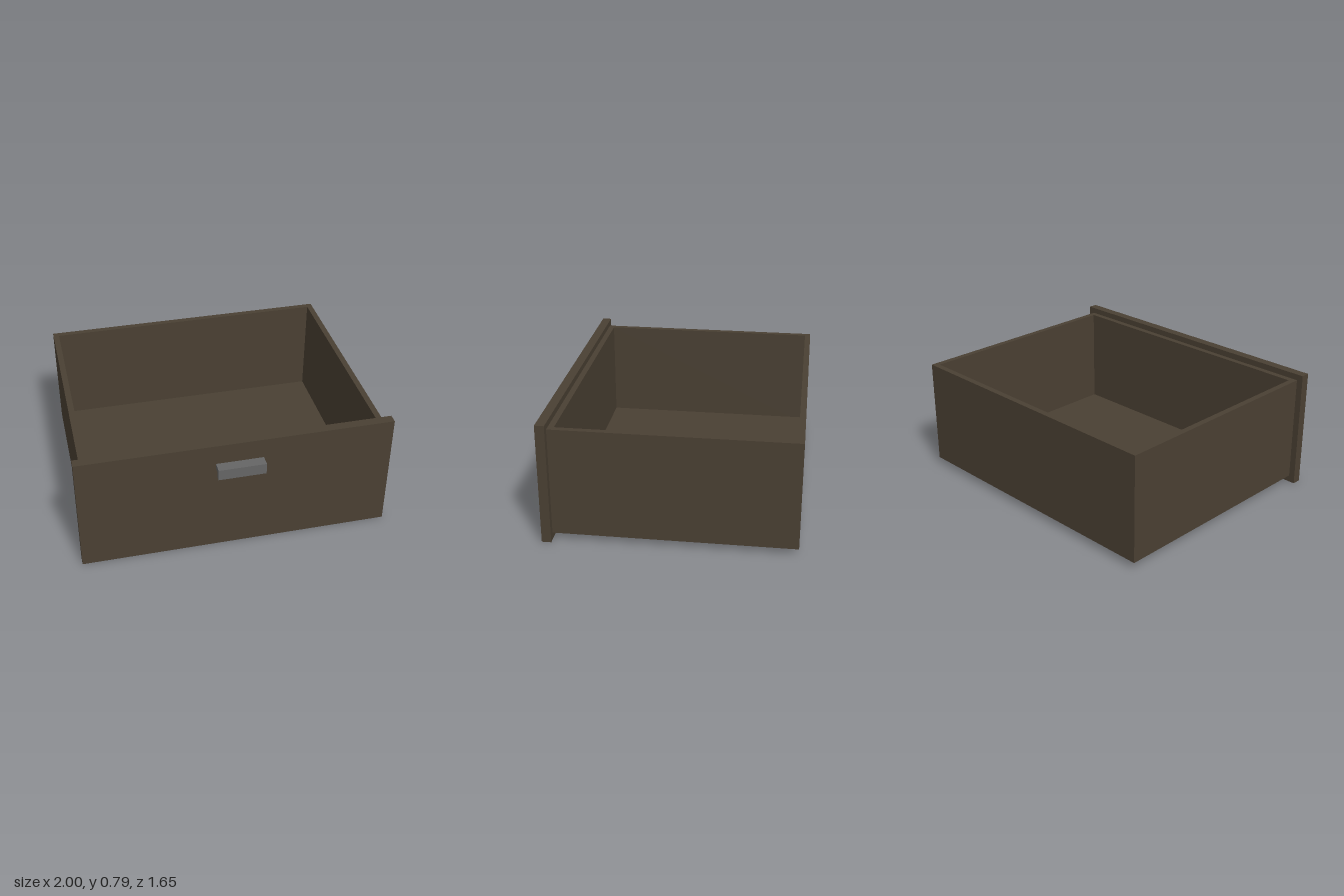
import * as THREE from 'three';

export function createModel() {
  const model = new THREE.Group();
  model.name = 'drawer';

  const wood = new THREE.MeshStandardMaterial({ color: 0x4a4033 });
  wood.name = 'dark wood';
  const metal = new THREE.MeshStandardMaterial({ color: 0x666666 });
  metal.name = 'grey metal';

  const add = (name, geometry, material) => {
    const mesh = new THREE.Mesh(geometry, material);
    mesh.name = name;
    model.add(mesh);
    return mesh;
  };

  const halfWidth = 0.958, back = -0.826, front = 0.697, panelFront = 0.757;
  const bottom = 0.045, top = 0.75, wall = 0.038;

  // Four walls as one extruded frame, looking down the y axis
  const frame = new THREE.Shape([
    new THREE.Vector2(-halfWidth, -front), new THREE.Vector2(halfWidth, -front),
    new THREE.Vector2(halfWidth, -back), new THREE.Vector2(-halfWidth, -back),
  ]);
  const inner = halfWidth - wall;
  frame.holes.push(new THREE.Path([
    new THREE.Vector2(-inner, -front + wall), new THREE.Vector2(-inner, -back - wall),
    new THREE.Vector2(inner, -back - wall), new THREE.Vector2(inner, -front + wall),
  ]));
  const walls = new THREE.ExtrudeGeometry(frame, { depth: top - bottom, bevelEnabled: false });
  walls.rotateX(-Math.PI / 2);
  add('boxWalls', walls, wood).position.y = bottom;

  // Floor, sized to sit inside the walls and flush with their underside
  const floorDepth = front - back - 2 * wall;
  add('boxFloor', new THREE.BoxGeometry(2 * inner, wall, floorDepth), wood)
    .position.set(0, bottom + wall / 2, (front + back) / 2);

  // Overhanging front panel
  add('frontPanel', new THREE.BoxGeometry(2, 0.79, panelFront - front), wood)
    .position.set(0, 0.395, (front + panelFront) / 2);

  // Hooked pull: profile in (-z, y), extruded along x
  const profile = new THREE.Shape([
    [-panelFront, 0.656], [-0.826, 0.656], [-0.826, 0.583],
    [-0.802, 0.583], [-0.79, 0.621], [-panelFront, 0.621],
  ].map(([x, y]) => new THREE.Vector2(x, y)));
  const pull = new THREE.ExtrudeGeometry(profile, { depth: 0.302, bevelEnabled: false });
  pull.rotateY(Math.PI / 2);
  add('handle', pull, metal).position.x = -0.138;

  return model;
}
